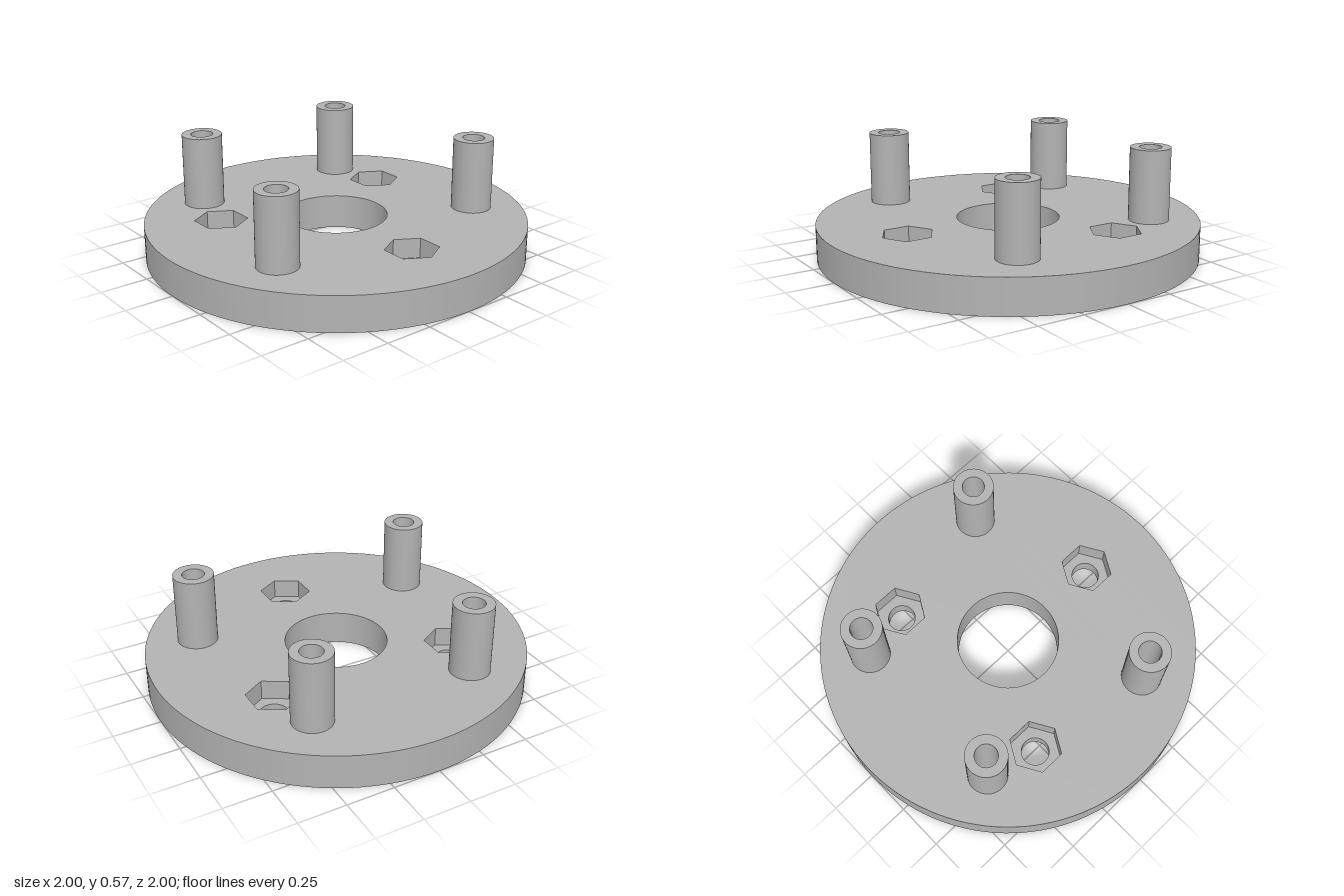
import * as THREE from 'three';
import { mergeGeometries } from 'three/addons/utils/BufferGeometryUtils.js';

const SEG = 64;
const PLATE_TOP = 0.185, POST_TOP = 0.57, POCKET_FLOOR = 0.08, SINK_DEPTH = 0.05;
const R = { plate: 1, centre: 0.27, post: 0.106, bore: 0.058, hex: 0.138, bolt: 0.073 };
const POSTS = [[-0.45, -0.58], [0.45, -0.58], [-0.635, 0.363], [0.635, 0.363]];
const BOLTS = [[-0.52, -0.305], [0.52, -0.305], [0, 0.597]];

// Revolved wall between two (radius, height) points; going up faces outwards, going down faces inwards
function wall(r1, y1, r2, y2, segments = SEG) {
  const points = [new THREE.Vector2(r1, y1), new THREE.Vector2(r2, y2)];
  const geometry = new THREE.LatheGeometry(points, segments).toNonIndexed();
  if (segments === 6) geometry.computeVertexNormals();
  return geometry;
}

// Closed outline of a circle or, with six sides, a hexagon pointing along z
function outline(type, radius, sides = SEG, x = 0, y = 0) {
  const points = [];
  for (let i = 0; i < sides; i++) {
    const a = (i / sides) * Math.PI * 2;
    points.push(new THREE.Vector2(x + radius * Math.sin(a), y + radius * Math.cos(a)));
  }
  return new type(points);
}

// Flat horizontal face at height y, up (+1) or down (-1); holes are [radius, sides, x, z]
function face(radius, sides, holes, y, up) {
  const shape = outline(THREE.Shape, radius, sides);
  for (const [r, n, x, z] of holes) shape.holes.push(outline(THREE.Path, r, n, x, -up * z));
  const geometry = new THREE.ShapeGeometry(shape);
  geometry.rotateX(-up * Math.PI / 2).translate(0, y, 0);
  return geometry.toNonIndexed();
}

export function createModel() {
  const model = new THREE.Group();
  model.name = 'flangePlate';
  const grey = new THREE.MeshStandardMaterial({ color: 0xb3b3b3 });
  grey.name = 'plain grey';

  const add = (name, parts, x = 0, z = 0) => {
    const mesh = new THREE.Mesh(mergeGeometries(parts), grey);
    mesh.name = name;
    mesh.position.set(x, 0, z);
    model.add(mesh);
  };
  const at = (list, radius, sides) => list.map(([x, z]) => [radius, sides, x, z]);
  const centreHole = [R.centre, SEG, 0, 0];

  // Round plate with its openings
  add('plate', [
    wall(R.plate, 0, R.plate, PLATE_TOP, 128),
    wall(R.centre, PLATE_TOP, R.centre, 0),
    face(R.plate, 128, [centreHole, ...at(POSTS, R.post, SEG), ...at(BOLTS, R.hex, 6)], PLATE_TOP, 1),
    face(R.plate, 128, [centreHole, ...at(POSTS, R.post, SEG), ...at(BOLTS, R.bolt, SEG)], 0, -1),
  ]);

  // Hollow posts, bored through the plate and countersunk underneath
  for (const [x, z] of POSTS) {
    add('post', [
      wall(R.post, PLATE_TOP, R.post, POST_TOP),
      face(R.post, SEG, [[R.bore, SEG, 0, 0]], POST_TOP, 1),
      wall(R.bore, POST_TOP, R.bore, SINK_DEPTH),
      wall(R.bore, SINK_DEPTH, R.post, 0),
    ], x, z);
  }

  // Hexagonal nut pockets with bolt holes
  for (const [x, z] of BOLTS) {
    add('nutPocket', [
      wall(R.hex, PLATE_TOP, R.hex, POCKET_FLOOR, 6),
      face(R.hex, 6, [[R.bolt, SEG, 0, 0]], POCKET_FLOOR, 1),
      wall(R.bolt, POCKET_FLOOR, R.bolt, 0),
    ], x, z);
  }
  return model;
}
